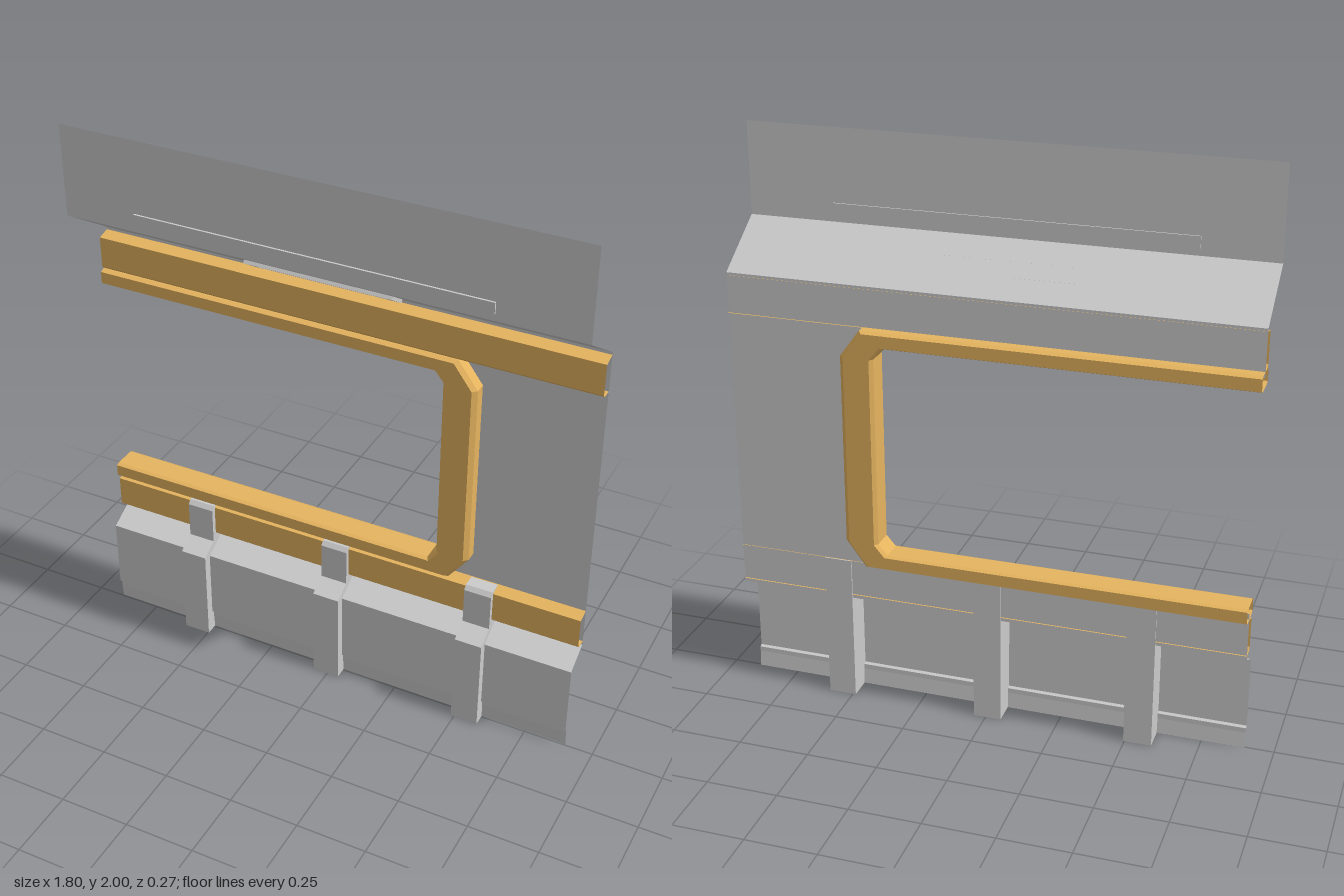
import * as THREE from 'three';

const HALF = 0.9; // half the panel length
const WALL_Z = -0.085;

const grey = new THREE.MeshStandardMaterial({ color: 0xcccccc, side: THREE.DoubleSide });
const gold = new THREE.MeshStandardMaterial({ color: 0xe6b45f, side: THREE.DoubleSide });

function add(parent, name, geometry, material = grey) {
  const mesh = new THREE.Mesh(geometry, material);
  mesh.name = name;
  parent.add(mesh);
  return mesh;
}

// Flat-faced skin through a row of [x, y, z] sections
function loft(sections, closed = false) {
  const out = [];
  const count = sections[0].length;
  for (let i = 0; i < sections.length - 1; i++) {
    for (let j = 0; j < (closed ? count : count - 1); j++) {
      const k = (j + 1) % count;
      const [a, b, c, d] = [sections[i][j], sections[i + 1][j], sections[i + 1][k], sections[i][k]];
      out.push(...a, ...b, ...c, ...a, ...c, ...d);
    }
  }
  const g = new THREE.BufferGeometry();
  g.setAttribute('position', new THREE.Float32BufferAttribute(out, 3));
  g.computeVertexNormals();
  return g;
}

// Open sheet: a [z, y] profile (listed top to bottom) swept along the panel
function sheet(profile) {
  return loft([-HALF, HALF].map((x) => profile.map(([z, y]) => [x, y, z])).reverse());
}

// Rectangle path or shape centred on the origin
function rect(w, h, Type) {
  const p = new Type();
  p.moveTo(-w / 2, -h / 2);
  p.lineTo(w / 2, -h / 2);
  p.lineTo(w / 2, h / 2);
  p.lineTo(-w / 2, h / 2);
  p.closePath();
  return p;
}

export function createModel() {
  const model = new THREE.Group();
  model.name = 'wallPanel';

  // Upper fascia with the slope running back down to the wall
  add(model, 'upperFascia', sheet([[0.13, 2], [0.13, 1.68], [WALL_Z, 1.54]]));

  // Long slot strip set through the fascia
  const slot = add(model, 'fasciaStrip', new THREE.BoxGeometry(1.24, 0.04, 0.012));
  slot.position.set(-0.02, 1.725, 0.131);

  // Framed light recess on the slope
  const light = new THREE.Group();
  light.name = 'slopeLight';
  const ring = rect(0.52, 0.085, THREE.Shape);
  ring.holes.push(rect(0.46, 0.045, THREE.Path));
  add(light, 'lightFrame', new THREE.ExtrudeGeometry(ring, { depth: 0.012, bevelEnabled: false }));
  add(light, 'lightPane', new THREE.BoxGeometry(0.46, 0.045, 0.004)).position.z = 0.003;
  light.position.set(-0.02, 1.615, 0.03);
  light.rotation.x = Math.atan2(0.215, 0.14);
  model.add(light);

  // Wall sheet, open towards -x around the window
  const wall = new THREE.Shape([
    [-HALF, 0.4], [HALF, 0.4], [HALF, 1.54], [-HALF, 1.54], [-HALF, 1.38],
    [0.38, 1.38], [0.43, 1.3], [0.43, 0.64], [0.38, 0.56], [-HALF, 0.56],
  ].map(([x, y]) => new THREE.Vector2(x, y)));
  add(model, 'wall', new THREE.ShapeGeometry(wall)).position.z = WALL_Z;

  // Window frame: inner and outer outline corners, joined by a bevelled section
  const inner = [[-HALF, 1.345], [0.34, 1.345], [0.373, 1.305], [0.373, 0.633], [0.34, 0.595], [-HALF, 0.595]];
  const outer = [[-HALF, 1.4], [0.42, 1.4], [0.49, 1.305], [0.49, 0.633], [0.42, 0.54], [-HALF, 0.54]];
  const section = [
    [0.1, -0.03], [0.87, -0.03], [1, -0.045], [1, -0.118],
    [0.87, -0.132], [0.1, -0.132], [0, -0.12], [0, -0.042],
  ];
  const stations = inner.map(([ix, iy], i) => section.map(([t, z]) => [
    ix + (outer[i][0] - ix) * t, iy + (outer[i][1] - iy) * t, z,
  ]));
  add(model, 'windowFrame', loft(stations, true), gold);

  // Rails above and below the window, open at their ends
  for (const [name, y] of [['upperRail', 1.4], ['lowerRail', 0.405]]) {
    add(model, name, sheet([
      [-0.09, y + 0.132], [-0.04, y + 0.12], [-0.04, y + 0.01], [-0.05, y], [-0.09, y],
    ]), gold);
  }

  // Dado with sloped top and a kick strip at the floor
  add(model, 'dado', sheet([
    [WALL_Z, 0.4], [WALL_Z, 0.39], [0.01, 0.34], [0.01, 0.08], [0, 0.075], [0, 0.057], [-0.005, 0],
  ]));

  // Stepped upright ribs
  const rib = new THREE.Shape([
    [0.09, 0], [0.09, 0.535], [0.035, 0.535], [0.022, 0.52],
    [0.022, 0.385], [-0.042, 0.35], [-0.042, 0],
  ].map(([x, y]) => new THREE.Vector2(x, y)));
  const ribGeometry = new THREE.ExtrudeGeometry(rib, { depth: 0.098, bevelEnabled: false });
  ribGeometry.translate(0, 0, -0.049).rotateY(Math.PI / 2);
  for (const x of [-0.545, -0.006, 0.538]) {
    add(model, 'rib', ribGeometry).position.x = x;
  }

  return model;
}
